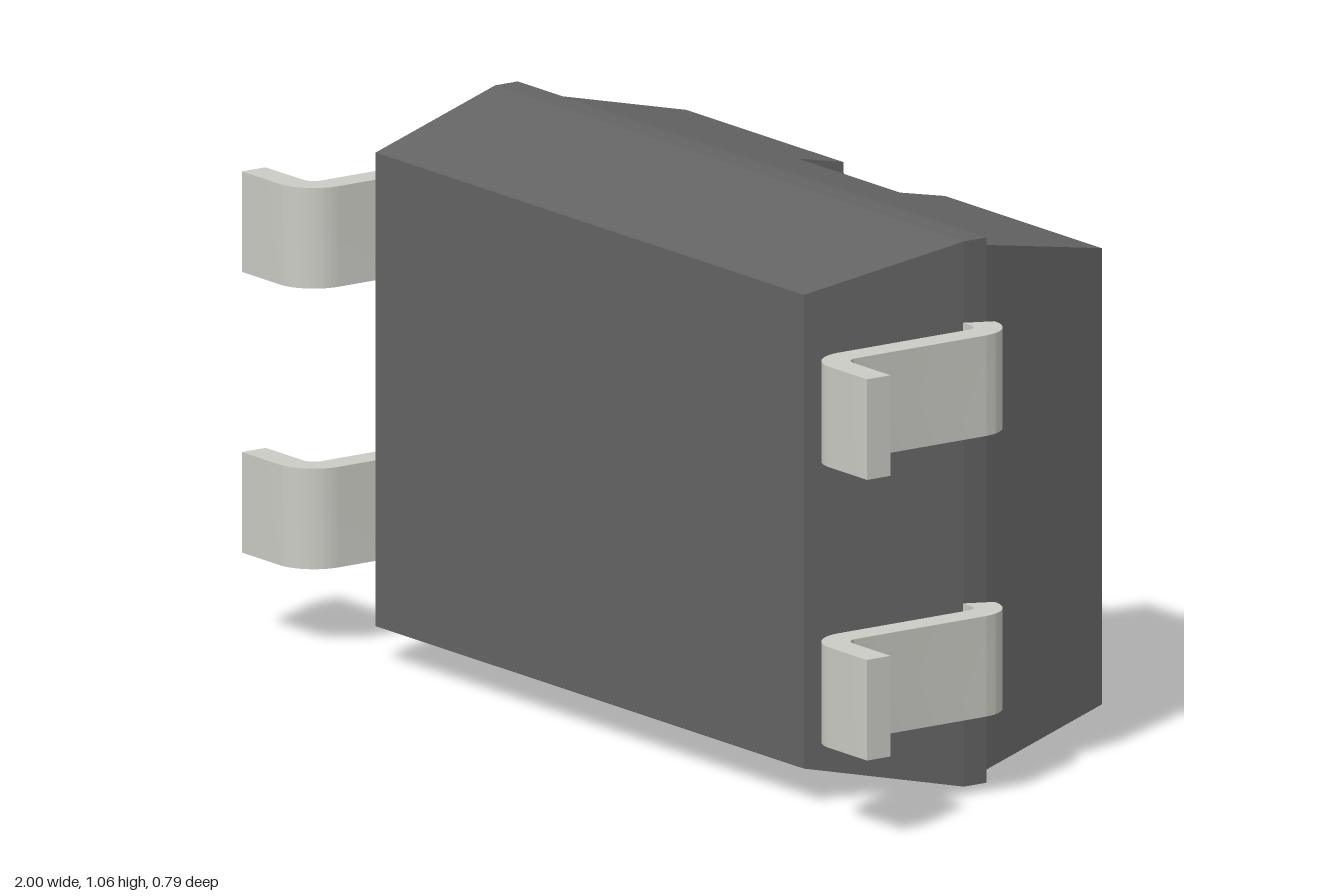
import * as THREE from 'three';
import { toCreasedNormals } from 'three/addons/utils/BufferGeometryUtils.js';

const MID_Y = 0.5285;
const NOTCH_R = 0.163, NOTCH_Y = 0.97, NOTCH_Z = -0.29;

// Rectangular cross-section, counter-clockwise seen from +z.
// With notched = true, a half-round bite is taken out of the top edge.
function section(z, halfW, halfH, notched = false) {
  const top = MID_Y + halfH, bottom = MID_Y - halfH;
  const points = [[-halfW, bottom], [halfW, bottom], [halfW, top]];
  if (notched) {
    const n = 28;
    for (let i = 0; i <= n; i++) {
      const a = (i / n) * Math.PI;
      const y = i === 0 || i === n ? top : NOTCH_Y - NOTCH_R * Math.sin(a);
      points.push([NOTCH_R * Math.cos(a), y]);
    }
  }
  points.push([-halfW, top]);
  return points.map(([x, y]) => new THREE.Vector3(x, y, z));
}

// Skin the sections from front to back and close the ends.
function loft(sections, frontCap, backCap) {
  const tris = [];
  for (let s = 0; s < sections.length - 1; s++) {
    const f = sections[s], b = sections[s + 1], n = f.length;
    for (let i = 0; i < n; i++) {
      const j = (i + 1) % n;
      tris.push(f[i], b[i], f[j], f[j], b[i], b[j]);
    }
  }
  const cap = (loop, flip) => {
    const flat = loop.map((p) => new THREE.Vector2(p.x, p.y));
    for (const [a, b, c] of THREE.ShapeUtils.triangulateShape(flat, [])) {
      tris.push(loop[a], loop[flip ? c : b], loop[flip ? b : c]);
    }
  };
  if (frontCap) cap(sections[0], false);
  if (backCap) cap(sections[sections.length - 1], true);
  return toCreasedNormals(new THREE.BufferGeometry().setFromPoints(tris), 0.16);
}

// Z-bent strip profile (x, -z), extruded along y and centred on y = 0.
function leadGeometry(width) {
  const q = Math.PI / 2, outer = 0.08, inner = 0.025;
  const shape = new THREE.Shape();
  shape.moveTo(0.75, 0.065);
  shape.absarc(0.775, -0.015, outer, q, 0, true);
  shape.absarc(0.88, -0.315, inner, 2 * q, 3 * q, false);
  shape.lineTo(1, -0.34);
  shape.lineTo(1, -0.395);
  shape.absarc(0.88, -0.315, outer, 3 * q, 2 * q, true);
  shape.absarc(0.775, -0.015, inner, 0, q, false);
  shape.lineTo(0.75, 0.01);
  const geometry = new THREE.ExtrudeGeometry(shape, { depth: width, bevelEnabled: false, curveSegments: 10 });
  geometry.translate(0, 0, -width / 2);
  geometry.rotateX(-Math.PI / 2);
  return toCreasedNormals(geometry, 0.5);
}

export function createModel() {
  const model = new THREE.Group();
  model.name = 'chipPackage';
  const plastic = new THREE.MeshStandardMaterial({ color: 0x646464 });
  const metal = new THREE.MeshStandardMaterial({ color: 0xcbcbc5 });

  const add = (parent, name, geometry, material) => {
    const mesh = new THREE.Mesh(geometry, material);
    mesh.name = name;
    parent.add(mesh);
    return mesh;
  };

  // Moulded body: tapered front half with rim, slightly smaller back half
  const body = new THREE.Group();
  body.name = 'body';
  model.add(body);
  add(body, 'frontShell', loft([
    section(0.313, 0.685, 0.459),
    section(-0.012, 0.75, 0.5285),
    section(-0.065, 0.75, 0.5285),
  ], true, true), plastic);
  add(body, 'backShell', loft([
    section(-0.065, 0.735, 0.511),
    section(NOTCH_Z, 0.687, 0.464),
  ], false, true), plastic);
  add(body, 'notchedBack', loft([
    section(NOTCH_Z, 0.687, 0.464, true),
    section(-0.395, 0.665, 0.442, true),
  ], false, true), plastic);

  // Two bent leads on each side
  const lead = leadGeometry(0.195);
  for (const y of [0.258, 0.802]) {
    add(model, 'leftLead', lead, metal).position.y = y;
    const right = add(model, 'rightLead', lead, metal);
    right.position.y = y;
    right.rotation.z = Math.PI;
  }
  return model;
}
